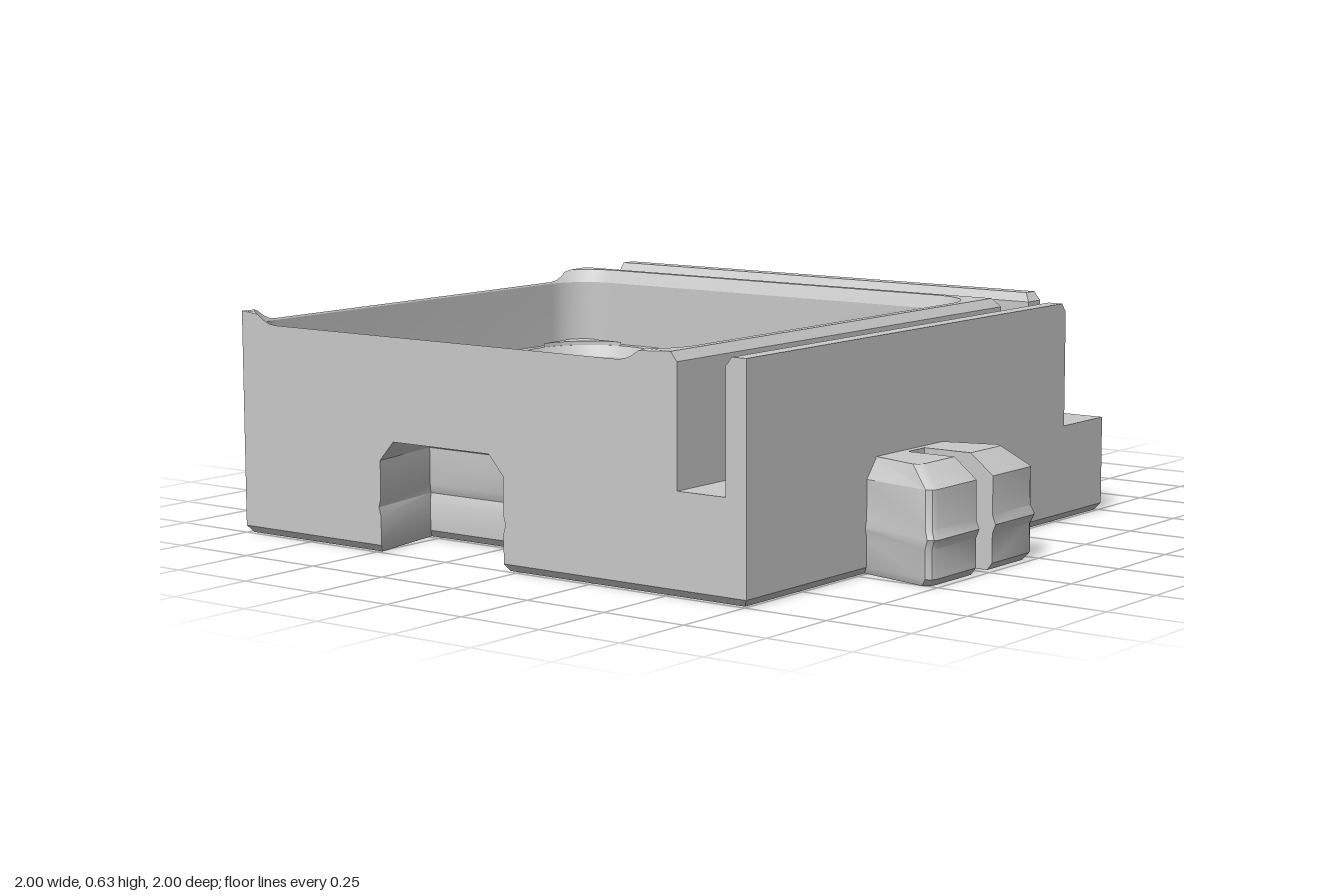
import * as THREE from 'three';
import { toCreasedNormals } from 'three/addons/utils/BufferGeometryUtils.js';

const MIN = -1, MAX = 0.755, BLOCK = 0.538, C = -0.263;
const TOP = 0.63, LEDGE = 0.275, FLOOR = 0.4, POCKET = 0.365;

const grey = new THREE.MeshStandardMaterial({ color: 0xc9c9c9, side: THREE.DoubleSide });
grey.name = 'light grey plastic';

// Skin between rings of [x, y, z] points, each ring counterclockwise from above
function loft(rings) {
  const pos = [];
  for (let j = 0; j + 1 < rings.length; j++) {
    const lo = rings[j], hi = rings[j + 1], n = lo.length;
    for (let i = 0; i < n; i++) {
      const k = (i + 1) % n;
      pos.push(...lo[i], ...lo[k], ...hi[k], ...lo[i], ...hi[k], ...hi[i]);
    }
  }
  const g = new THREE.BufferGeometry();
  g.setAttribute('position', new THREE.Float32BufferAttribute(pos, 3));
  return toCreasedNormals(g, 0.45);
}

// Flat horizontal face from [x, z] points with optional holes
function cap(points, y, holes = []) {
  const vecs = (p) => p.map(([x, z]) => new THREE.Vector2(x, -z));
  const shape = new THREE.Shape(vecs(points));
  for (const h of holes) shape.holes.push(new THREE.Path(vecs(h)));
  return new THREE.ShapeGeometry(shape).rotateX(-Math.PI / 2).translate(0, y, 0);
}

const at = (points, y) => points.map(([x, z]) => [x, y, z]);
const rect = (x0, x1, z0, z1) => [[x1, z1], [x1, z0], [x0, z0], [x0, z1]];

// Rounded square; radius 0 repeats the corner so rings still match
function rounded(min, max, r, steps = 10) {
  const pts = [];
  const centres = [[max - r, min + r], [min + r, min + r], [min + r, max - r], [max - r, max - r]];
  centres.forEach(([cx, cz], q) => {
    for (let i = 0; i <= steps; i++) {
      const a = (q + i / steps) * Math.PI / 2;
      pts.push([cx + r * Math.cos(a), cz - r * Math.sin(a)]);
    }
  });
  return pts;
}

function circle(cx, cz, r) {
  return Array.from({ length: 48 }, (_, i) => {
    const a = i / 48 * Math.PI * 2;
    return [cx + r * Math.cos(a), cz - r * Math.sin(a)];
  });
}

// Square footprint with dovetail sockets in the back and right sides
function footprint(max, inset, shrink) {
  const a = MIN + inset, b = max - inset;
  const m = 0.22 - shrink * 0.7, w = 0.265 - shrink * 0.7, d = MIN + 0.25 - shrink;
  return [[b, b], [b, a],
    [C + m, a], [C + w, d], [C - w, d], [C - m, a], [a, a],
    [a, C - m], [d, C - w], [d, C + w], [a, C + m], [a, b]];
}

// Height and inset steps shared by connector tabs and sockets
const STEPS = [[0, 0.015], [0.02, 0], [0.1, 0], [0.125, -0.01], [0.15, 0], [0.255, 0], [0.31, 0.07]];

export function createModel() {
  const model = new THREE.Group();
  const add = (name, geometry, parent = model) => {
    const mesh = new THREE.Mesh(geometry, grey);
    mesh.name = name;
    parent.add(mesh);
    return mesh;
  };

  // Base with chamfered foot and sockets
  const base = STEPS.slice(0, 6).map(([y, i]) =>
    at(footprint(MAX, y === 0 ? i : 0, y === 0 ? -i : i), y));
  base.push(at(footprint(MAX, 0, 0.025), LEDGE));
  add('base', loft(base));
  add('underside', cap(footprint(MAX, 0.015, -0.015), 0));
  add('channelFloor', cap([[BLOCK, MIN], [MAX, MIN], [MAX, MAX], [MIN, MAX], [MIN, BLOCK], [BLOCK, BLOCK]], LEDGE));
  add('socketTops', loft([at(footprint(BLOCK, 0, 0.025), LEDGE), at(footprint(BLOCK, 0, 0.07), 0.31)]));
  add('socketCeiling', cap(rect(MIN, BLOCK, MIN, BLOCK), 0.31));

  // Tray block: outer wall, rim and recess wall, with the rim clipped at two sides
  const lipY = 0.592, wallMin = -0.997, lipMin = -1.02;
  const lip = rounded(lipMin, 0.495, 0.15).map(([x, z]) => {
    const over = Math.max(0, MIN - x, MIN - z);
    return { over, p: [Math.max(x, MIN), TOP - over * (TOP - lipY) / (wallMin - lipMin), Math.max(z, MIN)] };
  });
  const outer = (max, y) => rounded(MIN, max, 0).map(([x, z], i) => {
    const { over, p } = lip[i];
    return over > 0 ? [p[0], Math.min(y, p[1]), p[2]] : [x, y, z];
  });
  add('trayBlock', loft([
    outer(BLOCK, 0.31), outer(BLOCK, 0.605), outer(0.518, TOP), lip.map((l) => l.p),
    at(rounded(wallMin, 0.475, 0.13), lipY), at(rounded(wallMin, 0.475, 0.13), FLOOR),
  ]));

  // Tray floor with a shallow centre pocket and round seats
  const seats = (offset) => [-1, 1].flatMap((sx) => [-1, 1].map((sz) => [C + sx * offset, C + sz * offset]));
  const cornerSeats = seats(0.512), middleSeats = seats(0.22), R = 0.198;
  const holes = (list) => list.map(([x, z]) => circle(x, z, R));
  const pocketTop = rounded(C - 0.43, C + 0.43, 0.2), pocketLow = rounded(C - 0.424, C + 0.424, 0.194);
  add('trayFloor', cap(rounded(wallMin, 0.475, 0.13), FLOOR, [pocketTop, ...holes(cornerSeats)]));
  add('pocketWall', loft([at(pocketTop, FLOOR), at(pocketLow, POCKET)]));
  add('pocketFloor', cap(pocketLow, POCKET, holes(middleSeats)));
  const profile = [[R, 0], [0.18, -0.035], [0.18, -0.19], [0, -0.19]].map(([r, y]) => new THREE.Vector2(r, y));
  const seat = toCreasedNormals(new THREE.LatheGeometry(profile, 48).toNonIndexed(), 0.45);
  for (const [list, y] of [[cornerSeats, FLOOR], [middleSeats, POCKET]]) {
    for (const [x, z] of list) add('roundSeat', seat).position.set(x, y, z);
  }

  // Low ribs filling the tray corners behind the outer seats
  const rib = [[0.206, 0.206]];
  for (let i = 0; i <= 8; i++) {
    const a = 0.14 + i / 8 * (Math.PI / 2 - 0.28);
    rib.push([0.2 * Math.cos(a), 0.2 * Math.sin(a)]);
  }
  const ribTop = cap(rib, 0.012), ribSides = loft([at(rib, 0), at(rib, 0.012)]);
  for (const [x, z] of cornerSeats) {
    const corner = new THREE.Group();
    corner.name = 'cornerRib';
    corner.position.set(x, FLOOR, z);
    corner.scale.set(Math.sign(x - C), 1, Math.sign(z - C));
    add('ribTop', ribTop, corner);
    add('ribSides', ribSides, corner);
    model.add(corner);
  }

  // Outer channel walls with chamfered tops
  const frontLow = rect(MIN, BLOCK, 0.69, MAX), frontTop = rect(MIN, 0.518, 0.71, MAX);
  const sideLow = rect(0.69, MAX, MIN, BLOCK), sideTop = rect(0.71, MAX, MIN, 0.518);
  for (const [name, low, top] of [['frontWall', frontLow, frontTop], ['sideWall', sideLow, sideTop]]) {
    add(name, loft([at(low, LEDGE), at(low, 0.605), at(top, TOP)]));
    add(name + 'Top', cap(top, TOP));
  }

  // Split dovetail tabs on the front and left sides, rooted inside the base
  const halfTab = (s) => {
    const k = s * 0.65, end = 0.236 - s;
    return [[0.04, -0.02], [0.04, end], [0.228 - k, end], [0.242 - k, end - 0.006],
      [0.25 - k, end - 0.022], [0.2 - k, -0.02]];
  };
  const tabSkin = loft(STEPS.map(([y, s]) => at(halfTab(s), y)));
  const makeTab = (name) => {
    const tab = new THREE.Group();
    tab.name = name;
    for (const side of [1, -1]) {
      const half = new THREE.Group();
      half.name = 'tabHalf';
      half.scale.x = side;
      add('tabSides', tabSkin, half);
      add('tabTop', cap(halfTab(0.07), 0.31), half);
      add('tabBottom', cap(halfTab(0.015), 0), half);
      tab.add(half);
    }
    add('tabBridge', new THREE.BoxGeometry(0.08, 0.31, 0.04), tab).position.set(0, 0.155, 0);
    model.add(tab);
    return tab;
  };
  makeTab('frontTab').position.set(C, 0, MAX);
  const leftTab = makeTab('leftTab');
  leftTab.position.set(MAX, 0, C);
  leftTab.rotation.y = Math.PI / 2;

  return model;
}
